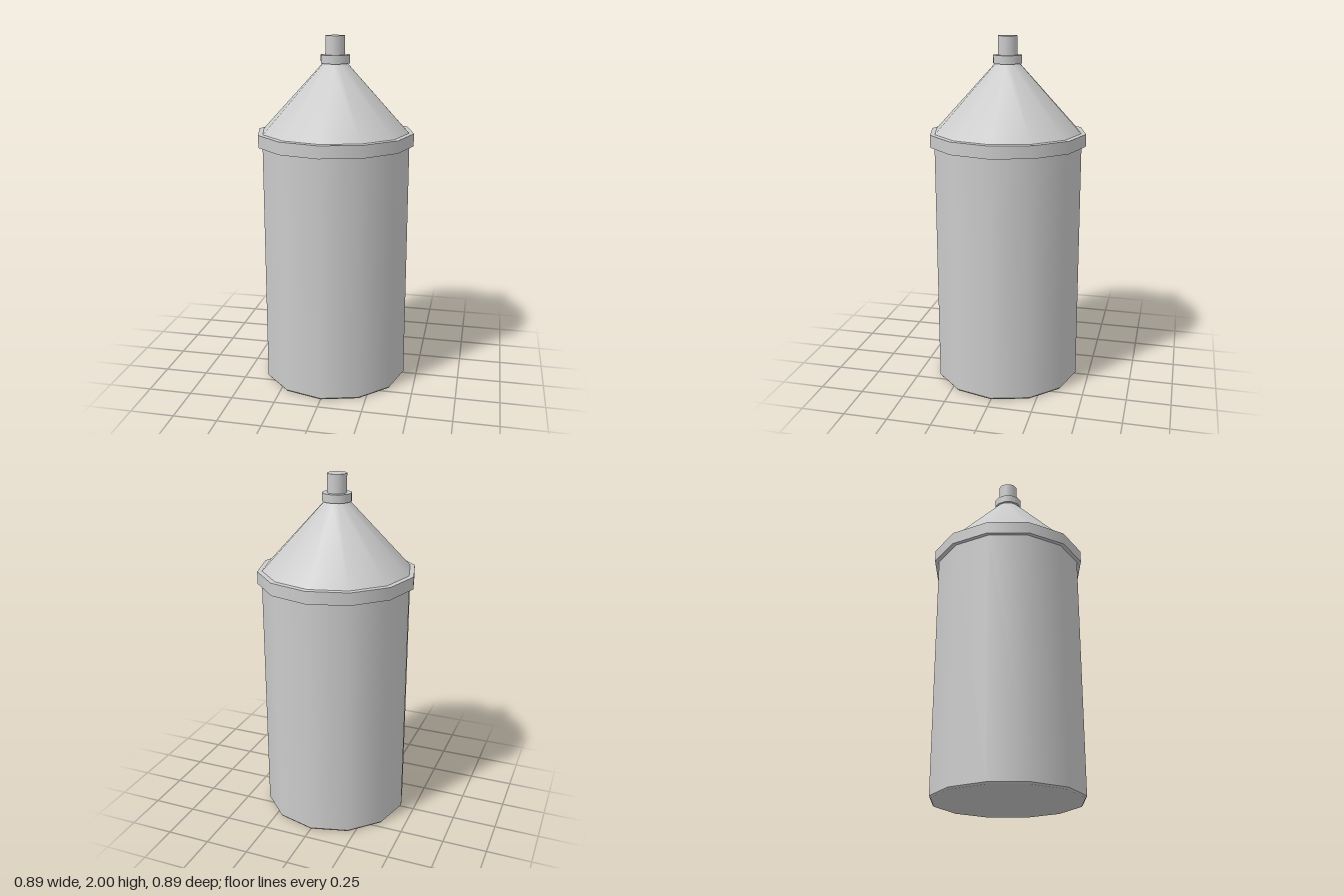
import * as THREE from 'three';

const SIDES = 12;

export function createModel() {
  const model = new THREE.Group();
  const material = new THREE.MeshStandardMaterial({ color: 0xcccccc });

  // Each strip is a [radius, height] profile running upward/outward; strips meet at hard edges.
  function addPart(name, ...strips) {
    const part = new THREE.Group();
    part.name = name;
    strips.forEach((strip, i) => {
      const points = strip.map(([r, y]) => new THREE.Vector2(r, y));
      const mesh = new THREE.Mesh(new THREE.LatheGeometry(points, SIDES), material);
      mesh.name = `${name}Surface${i + 1}`;
      part.add(mesh);
    });
    model.add(part);
  }

  // Cylindrical container with a slightly bevelled base
  addPart('body',
    [[0, 0], [0.415, 0], [0.423, 0.01]],
    [[0.423, 0.01], [0.423, 1.4]]);

  // Projecting band between body and cone
  addPart('rim',
    [[0.423, 1.4], [0.447, 1.4]],
    [[0.447, 1.4], [0.447, 1.47]],
    [[0.447, 1.47], [0.42, 1.472]]);

  // Tapering shoulder
  addPart('cone', [[0.42, 1.472], [0.07, 1.85]]);

  // Ring at the base of the nozzle
  addPart('collar',
    [[0.07, 1.85], [0.082, 1.85]],
    [[0.082, 1.85], [0.082, 1.896]],
    [[0.082, 1.896], [0.055, 1.896]]);

  // Closed spout
  addPart('nozzle',
    [[0.055, 1.896], [0.055, 2]],
    [[0.055, 2], [0, 2]]);

  return model;
}
